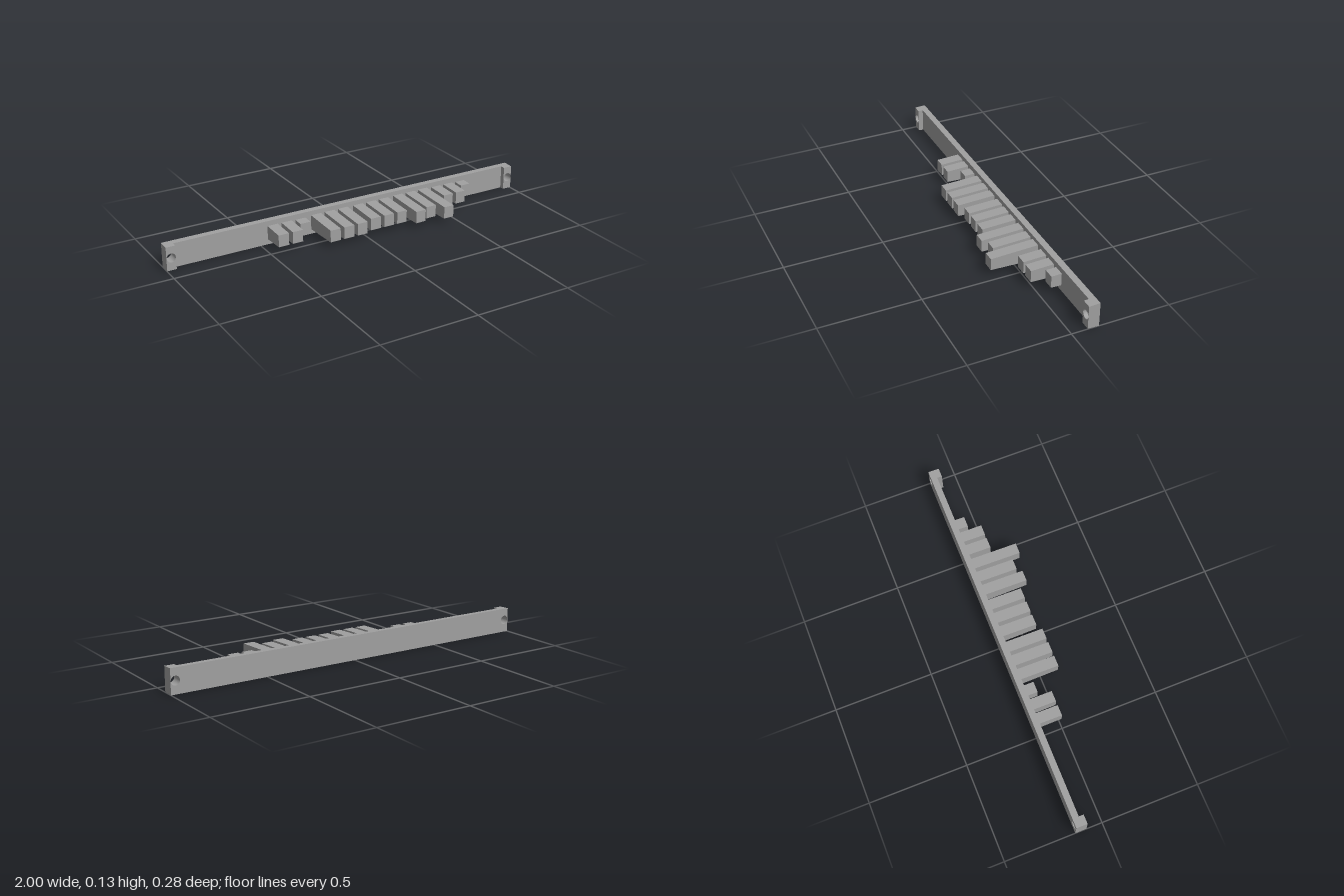
import * as THREE from 'three';

const DRAFT = 0.036; // moulding draft: heights shrink towards the front
const BACK = -0.138, RAIL_FRONT = -0.106, LUG_FRONT = -0.081;
const HEIGHT = 0.126, MID = HEIGHT / 2, HOLE_X = 0.976, HOLE_R = 0.023;

// Move vertices towards the centre line as z grows past zRef
function applyDraft(geometry, midY, zRef) {
  const p = geometry.attributes.position;
  for (let i = 0; i < p.count; i++) {
    const dy = p.getY(i) - midY;
    if (Math.abs(dy) > 0.028) p.setY(i, p.getY(i) - Math.sign(dy) * DRAFT * (p.getZ(i) - zRef));
  }
  geometry.computeVertexNormals();
  return geometry;
}

// Plate from x0 to x1 with round through holes
function drilledPlate(x0, x1, z0, z1, holes) {
  const shape = new THREE.Shape();
  shape.moveTo(x0, 0).lineTo(x1, 0).lineTo(x1, HEIGHT).lineTo(x0, HEIGHT).closePath();
  for (const x of holes) {
    const hole = new THREE.Path();
    hole.absarc(x, MID + 0.002, HOLE_R, 0, Math.PI * 2, true);
    shape.holes.push(hole);
  }
  const g = new THREE.ExtrudeGeometry(shape, { depth: z1 - z0, bevelEnabled: false, curveSegments: 16 });
  g.translate(0, 0, z0);
  return applyDraft(g, MID, BACK);
}

export function createModel() {
  const group = new THREE.Group();
  const grey = new THREE.MeshStandardMaterial({ color: 0xa0a0a0 });
  grey.name = 'grey plastic';
  const add = (name, geometry) => {
    const mesh = new THREE.Mesh(geometry, grey);
    mesh.name = name;
    group.add(mesh);
  };

  // Long backing rail with a screw hole at each end
  add('rail', drilledPlate(-1, 1, BACK, RAIL_FRONT, [-HOLE_X, HOLE_X]));

  // Raised mounting lugs around the holes
  add('rightLug', drilledPlate(-1, -0.952, RAIL_FRONT, LUG_FRONT, [-HOLE_X]));
  add('leftLug', drilledPlate(0.952, 1, RAIL_FRONT, LUG_FRONT, [HOLE_X]));

  // Five groups of three prongs: centre of each group and the tip depths
  const prongGroups = [
    [-0.358, [0.012, 0.012, -0.053]],
    [-0.117, [0.092, 0.092, 0.092]],
    [0.124, [0.072, 0.072, 0.072]],
    [0.363, [0.115, 0.092, 0.139]],
    [0.6, [0.012, 0.012, -0.053]],
  ];
  for (const [centre, tips] of prongGroups) {
    tips.forEach((tip, i) => {
      const length = tip - RAIL_FRONT;
      const g = new THREE.BoxGeometry(0.056, 0.062, length);
      g.translate(centre + (i - 1) * 0.0765, 0.064, RAIL_FRONT + length / 2);
      add('prong', applyDraft(g, 0.064, tip));
    });
  }
  return group;
}
